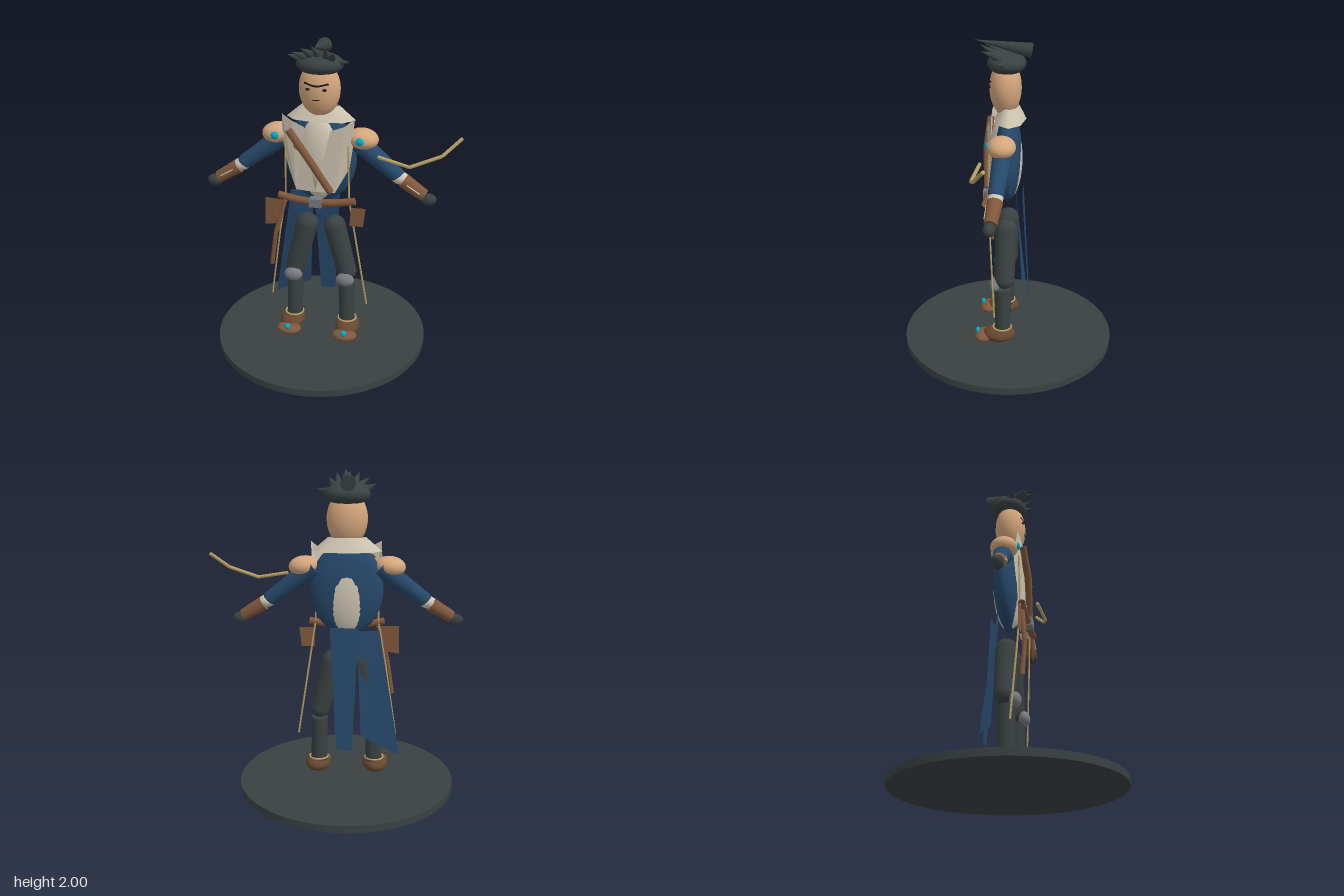
import * as THREE from 'three';

const mat = (name, color, double) => {
  const m = new THREE.MeshStandardMaterial({ color });
  m.name = name;
  if (double) m.side = THREE.DoubleSide;
  return m;
};
const V = (p) => new THREE.Vector3(...p);
const CX = -0.067; // the figure's own centre line

export function createModel() {
  const root = new THREE.Group();
  root.name = 'adventurer';
  const charcoal = mat('charcoal', 0x3a4141);
  const skin = mat('skin', 0xd3a67c);
  const blue = mat('blue cloth', 0x26486a, true);
  const cream = mat('cream cloth', 0xcdc4b1, true);
  const leather = mat('leather', 0x80573c, true);
  const darkLeather = mat('dark leather', 0x664630);
  const tan = mat('tan rope', 0xb79f62);
  const cyan = mat('cyan gem', 0x00a9c9);
  const grey = mat('grey metal', 0x777b80);
  const ink = mat('ink', 0x1d191a);

  const add = (name, geo, material, parent = root) => {
    const mesh = new THREE.Mesh(geo, material);
    mesh.name = name;
    parent.add(mesh);
    return mesh;
  };
  const ball = (name, p, r, material, rotZ = 0) => {
    const m = add(name, new THREE.SphereGeometry(1, 32, 20), material);
    m.position.set(...p);
    m.scale.set(...r);
    m.rotation.z = rotZ;
    return m;
  };
  // tapered cylinder from a to b
  const rod = (name, a, b, ra, rb, material, sides = 20) => {
    const d = V(b).sub(V(a));
    const m = add(name, new THREE.CylinderGeometry(rb, ra, d.length(), sides), material);
    m.position.copy(V(a)).addScaledVector(d, 0.5);
    m.quaternion.setFromUnitVectors(new THREE.Vector3(0, 1, 0), d.normalize());
    return m;
  };
  const chain = (name, pts, r, material, sides = 8) => {
    for (let i = 1; i < pts.length; i++) rod(name, pts[i - 1], pts[i], r, r, material, sides);
  };
  const tube = (name, pts, r, material) =>
    add(name, new THREE.TubeGeometry(new THREE.CatmullRomCurve3(pts.map(V)), 24, r, 10), material);
  // thin sheet through corner points, fanned from the first
  const sheet = (name, pts, material) => {
    const g = new THREE.BufferGeometry();
    const tri = [];
    for (let i = 1; i < pts.length - 1; i++) tri.push(...pts[0], ...pts[i], ...pts[i + 1]);
    g.setAttribute('position', new THREE.Float32BufferAttribute(tri, 3));
    g.computeVertexNormals();
    return add(name, g, material);
  };

  // display base
  add('base', new THREE.CylinderGeometry(0.686, 0.686, 0.045, 72), charcoal).position.set(CX, 0.0225, 0);

  // head and face
  ball('head', [CX, 1.715, 0.015], [0.125, 0.17, 0.097], skin);
  for (const s of [-1, 1]) {
    ball('eye', [CX + s * 0.05, 1.73, 0.104], [0.014, 0.008, 0.006], ink);
  }
  tube('brow', [[CX - 0.072, 1.764, 0.089], [CX, 1.752, 0.109], [CX + 0.072, 1.764, 0.089]], 0.006, ink);
  rod('mouth', [CX - 0.022, 1.668, 0.107], [CX + 0.022, 1.668, 0.107], 0.003, 0.003, ink, 6);

  // hair cap and swept spikes: base, tip, base radius
  ball('hairCap', [CX, 1.862, 0.008], [0.141, 0.066, 0.117], charcoal);
  const spikes = [
    [[-0.075, 1.935, -0.14], [-0.05, 2.0, 0.2], 0.046],
    [[-0.15, 1.88, 0.02], [-0.245, 1.92, 0.07], 0.035],
    [[-0.12, 1.89, 0.02], [-0.2, 1.955, 0.15], 0.036],
    [[-0.1, 1.9, 0.02], [-0.14, 1.985, 0.17], 0.036],
    [[-0.06, 1.9, 0.02], [-0.085, 1.99, 0.14], 0.036],
    [[-0.02, 1.89, 0.02], [0.0, 1.985, 0.16], 0.036],
    [[0.0, 1.89, 0.02], [0.05, 1.955, 0.15], 0.036],
    [[0.02, 1.87, 0.01], [0.122, 1.89, 0.05], 0.035],
  ];
  for (const [a, b, r] of spikes) rod('hairSpike', a, b, r, 0, charcoal, 14);

  // torso, shirt front and back patch
  ball('torso', [CX, 1.285, 0], [0.225, 0.29, 0.085], blue);
  ball('backPatch', [CX, 1.262, 0], [0.17, 0.265, 0.0893], cream);
  ball('shirtFront', [CX, 1.31, 0.035], [0.13, 0.235, 0.075], cream);
  const collar = add('collar', new THREE.CylinderGeometry(0.115, 0.215, 0.085, 8, 1, true), cream);
  collar.position.set(CX, 1.565, -0.015);
  collar.scale.z = 0.45;
  sheet('rightLapel', [[-0.2, 1.09, 0.1], [-0.075, 1.09, 0.115], [-0.14, 1.5, 0.11],
    [-0.215, 1.535, 0.11], [-0.28, 1.57, 0.095], [-0.285, 1.4, 0.07], [-0.255, 1.25, 0.08]], cream);
  sheet('leftLapel', [[0.045, 1.09, 0.1], [0.13, 1.25, 0.08], [0.15, 1.4, 0.07],
    [0.16, 1.57, 0.095], [0.105, 1.52, 0.11], [0.02, 1.49, 0.12], [-0.075, 1.09, 0.115]], cream);

  // coat tails
  sheet('rightCoatTail', [[-0.27, 1.03, -0.03], [-0.13, 1.03, -0.05], [-0.16, 0.35, -0.085], [-0.405, 0.23, -0.1]], blue);
  sheet('leftCoatTail', [[-0.14, 1.06, -0.095], [0.035, 1.06, -0.095], [-0.005, 0.28, -0.14], [-0.105, 0.27, -0.14]], blue);

  // chest strap and belt
  chain('chestStrap', [[-0.235, 1.48, 0.12], [-0.12, 1.325, 0.135], [0.022, 1.1, 0.12]], 0.023, leather, 12);
  const ring = add('strapRing', new THREE.TorusGeometry(0.022, 0.004, 8, 20), darkLeather);
  ring.position.set(-0.175, 1.385, 0.13);
  tube('belt', [[-0.305, 1.055, 0.12], [-0.19, 1.035, 0.123], [CX, 1.028, 0.125], [0.06, 1.035, 0.123], [0.175, 1.055, 0.12]], 0.023, leather);
  add('beltBuckle', new THREE.BoxGeometry(0.075, 0.055, 0.05), grey).position.set(CX, 1.03, 0.13);

  // pouches, scabbard and hanging ropes
  sheet('rightPouch', [[-0.395, 1.025, 0.115], [-0.4, 0.84, 0.115], [-0.305, 0.855, 0.12], [-0.265, 1.02, 0.12]], leather);
  sheet('leftPouch', [[0.15, 1.01, 0.12], [0.14, 0.885, 0.12], [0.225, 0.885, 0.115], [0.24, 1.01, 0.115]], leather);
  chain('scabbard', [[-0.265, 1.02, 0.12], [-0.325, 0.8, 0.142], [-0.36, 0.57, 0.13]], 0.014, leather, 10);
  chain('rightRope', [[-0.26, 1.4, 0.1], [-0.265, 1.05, 0.105], [-0.31, 0.8, 0.095], [-0.385, 0.31, 0.065]], 0.006, tan, 6);
  chain('leftRope', [[0.125, 1.4, 0.1], [0.135, 1.05, 0.105], [0.18, 0.75, 0.09], [0.247, 0.31, 0.065]], 0.006, tan, 6);
  chain('bentStaff', [[0.31, 1.36, 0.135], [0.5, 1.325, 0.165], [0.68, 1.395, 0.13], [0.785, 1.49, 0.065]], 0.011, tan, 10);

  // arms and legs, one set on each side
  for (const s of [-1, 1]) {
    const side = s > 0 ? 'left' : 'right';
    const P = (d, y, z) => [CX + s * d, y, z];
    ball(side + 'ShoulderPad', P(0.265, 1.425, 0.02), [0.095, 0.063, 0.085], skin, -s * 0.1);
    ball(side + 'ShoulderGem', P(0.26, 1.43, 0.1), [0.024, 0.024, 0.018], cyan);
    rod(side + 'UpperArm', P(0.2, 1.425, 0.005), P(0.475, 1.22, 0.033), 0.064, 0.047, blue);
    ball(side + 'Elbow', P(0.475, 1.22, 0.033), [0.047, 0.047, 0.047], blue);
    ball(side + 'Cuff', P(0.498, 1.2, 0.035), [0.062, 0.04, 0.045], cream, -s * 0.2);
    rod(side + 'Bracer', P(0.52, 1.185, 0.036), P(0.65, 1.105, 0.05), 0.046, 0.038, leather);
    rod(side + 'BracerTrim', P(0.545, 1.175, 0.083), P(0.625, 1.127, 0.088), 0.004, 0.004, cream, 6);
    ball(side + 'Hand', P(0.675, 1.085, 0.055), [0.05, 0.037, 0.036], charcoal);

    ball(side + 'Hip', P(0.09, 0.82, 0.005), [0.07, 0.07, 0.07], charcoal);
    rod(side + 'Thigh', P(0.09, 0.82, 0.005), P(0.17, 0.51, 0.01), 0.07, 0.064, charcoal);
    ball(side + 'KneeJoint', P(0.17, 0.51, 0.01), [0.064, 0.064, 0.064], charcoal);
    ball(side + 'KneePad', P(0.172, 0.472, 0.07), [0.059, 0.046, 0.036], grey);
    rod(side + 'Shin', P(0.172, 0.44, 0.02), P(0.177, 0.14, 0.022), 0.052, 0.052, charcoal);
    ball(side + 'Shoe', P(0.187, 0.118, 0.045), [0.08, 0.052, 0.105], darkLeather);
    ball(side + 'ShoeToe', P(0.187, 0.102, 0.145), [0.08, 0.033, 0.06], leather);
    ball(side + 'ShoeGem', P(0.187, 0.137, 0.185), [0.02, 0.02, 0.014], cyan);
    const lace = add(side + 'AnkleRope', new THREE.TorusGeometry(0.058, 0.006, 8, 28), tan);
    lace.position.set(...P(0.18, 0.165, 0.025));
    lace.rotation.x = Math.PI / 2;
  }
  return root;
}
